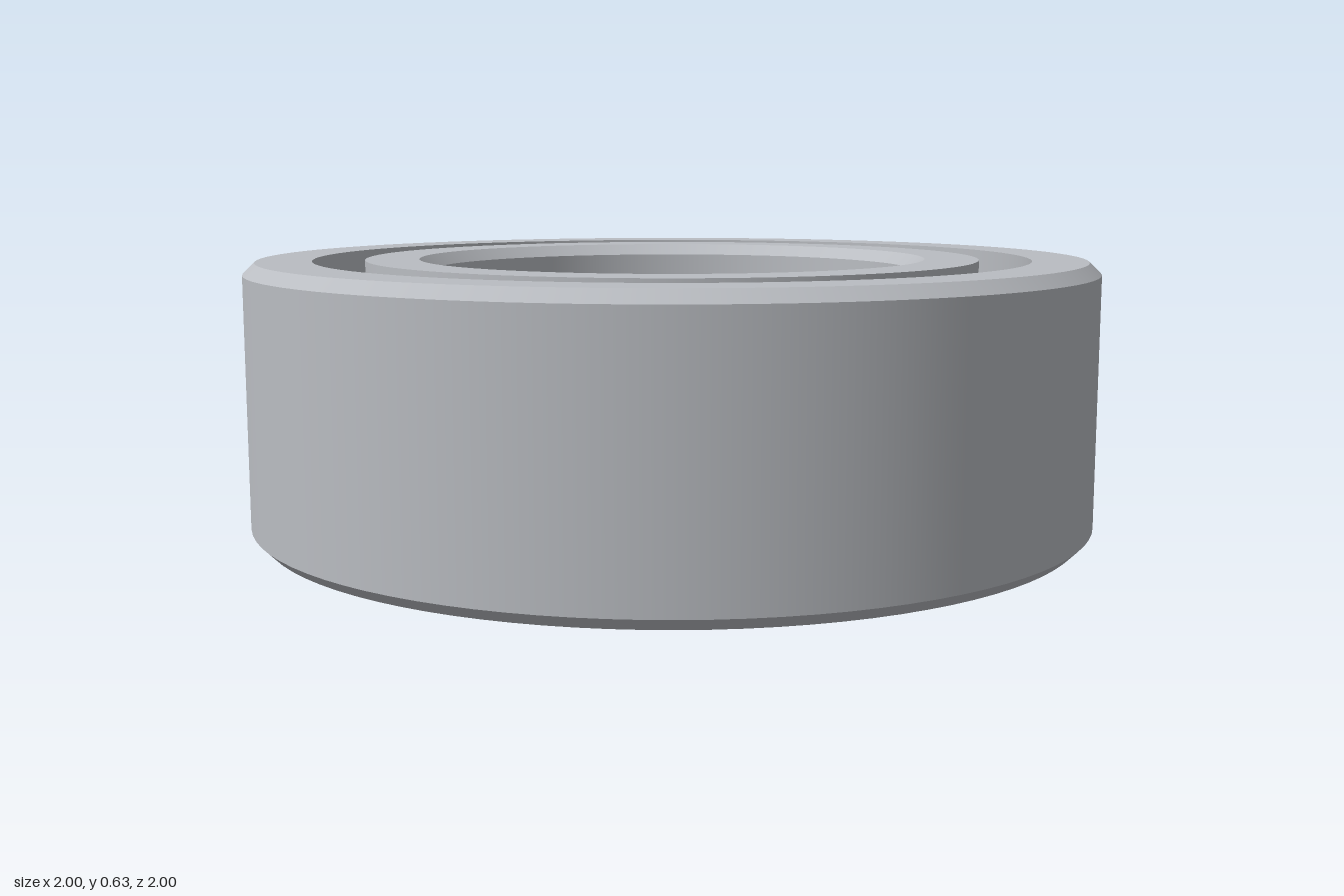
import * as THREE from 'three';
import { mergeGeometries } from 'three/addons/utils/BufferGeometryUtils.js';

const H = 0.635;       // ring height
const C = 0.027;       // chamfer
const PITCH = 0.785;   // radius of the ball circle
const BALL = 0.095;
const GROOVE = 0.097;
const BALLS = 19;

// Points of the raceway arc between two angles about the ball centre
function arc(from, to, steps = 12) {
  return Array.from({ length: steps + 1 }, (_, i) => {
    const a = from + (to - from) * i / steps;
    return [PITCH + GROOVE * Math.cos(a), H / 2 + GROOVE * Math.sin(a)];
  });
}

// Lathe each run on its own, so that the edges between runs stay sharp
function ringGeometry(runs) {
  return mergeGeometries(runs.map(run =>
    new THREE.LatheGeometry(run.map(([r, y]) => new THREE.Vector2(r, y)), 96)));
}

// Split a corner list into straight runs
const straight = pts => pts.slice(1).map((p, i) => [pts[i], p]);

export function createModel() {
  const steel = new THREE.MeshStandardMaterial({ color: 0xbabdc2 });
  steel.name = 'steel';
  const group = new THREE.Group();
  group.name = 'ballBearing';
  const add = (name, geometry) => {
    const mesh = new THREE.Mesh(geometry, steel);
    mesh.name = name;
    group.add(mesh);
    return mesh;
  };

  // Outer ring: chamfered outside, raceway inside
  const rOut = 0.845;
  const aOut = Math.acos((rOut - PITCH) / GROOVE);
  const outerArc = arc(aOut, -aOut);
  add('outerRing', ringGeometry([
    ...straight([
      outerArc.at(-1), [rOut, 0], [1 - C, 0], [1, C],
      [1, H - C], [1 - C, H], [rOut, H], outerArc[0],
    ]),
    outerArc,
  ]));

  // Inner ring: raceway outside, chamfered bore
  const rIn = 0.725, bore = 0.573;
  const aIn = Math.acos((rIn - PITCH) / GROOVE);
  const innerArc = arc(2 * Math.PI - aIn, aIn);
  add('innerRing', ringGeometry([
    ...straight([
      innerArc.at(-1), [rIn, H], [bore + C, H], [bore, H - C],
      [bore, C], [bore + C, 0], [rIn, 0], innerArc[0],
    ]),
    innerArc,
  ]));

  // Balls, evenly spaced around the race
  const ballGeometry = new THREE.SphereGeometry(BALL, 32, 20);
  for (let i = 0; i < BALLS; i++) {
    const a = i * 2 * Math.PI / BALLS;
    add('ball' + (i + 1), ballGeometry)
      .position.set(PITCH * Math.cos(a), H / 2, PITCH * Math.sin(a));
  }
  return group;
}
